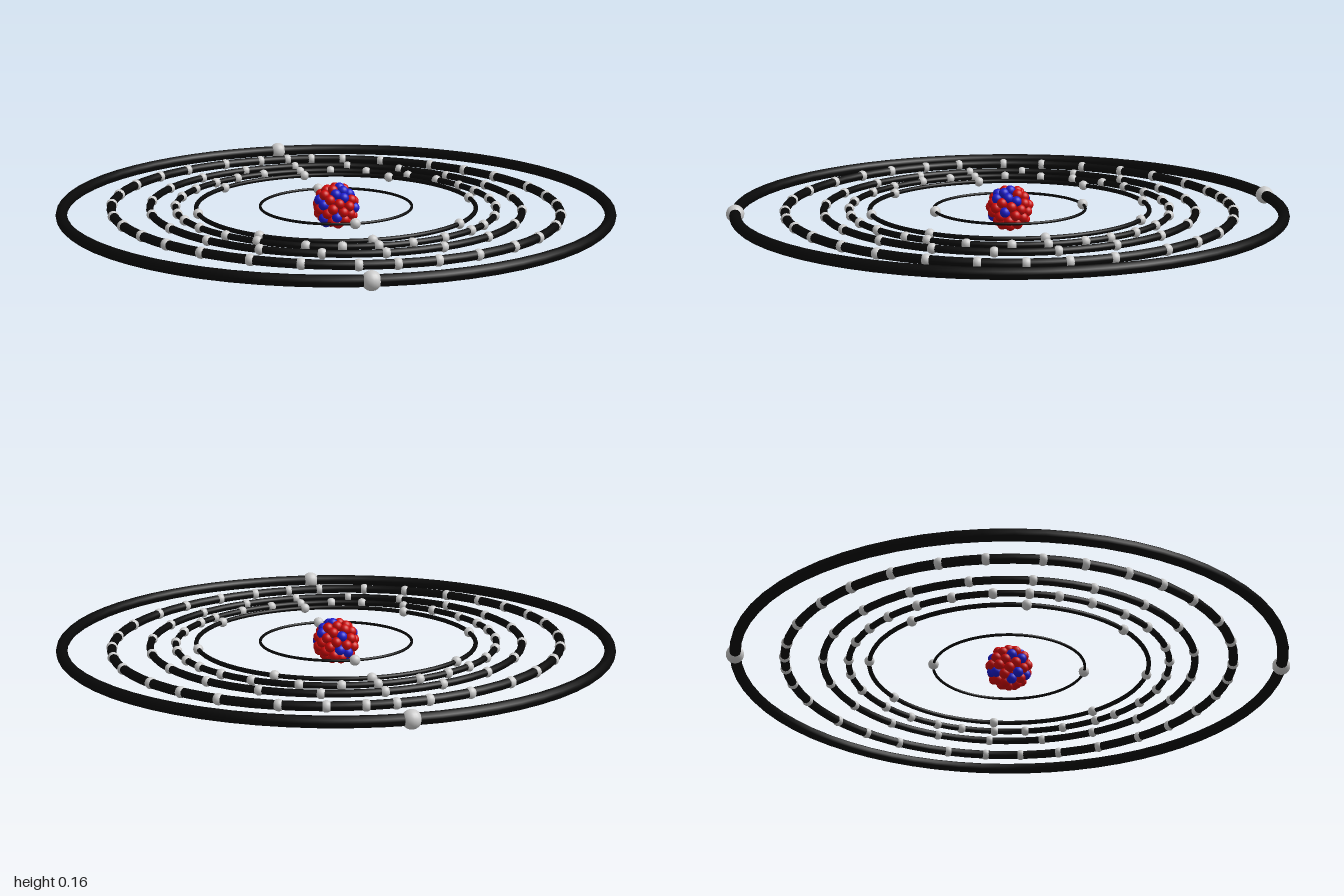
import * as THREE from 'three';

const CENTRE_Y = 0.086;
const ringMat = new THREE.MeshStandardMaterial({ color: 0x080808 });
const electronMat = new THREE.MeshStandardMaterial({ color: 0xcccccc });
const protonMat = new THREE.MeshStandardMaterial({ color: 0xd00808 });
const neutronMat = new THREE.MeshStandardMaterial({ color: 0x1c1cd0 });

const evenly = (n) => Array.from({ length: n }, (_, i) => (i * 360) / n);

// Each shell: ring radius, tube radius, electron radius, electron bearings
// in degrees (0 = back, 90 = +x), and a slight tilt about z
const shells = [
  { name: 'firstShell', radius: 0.27, tube: 0.005, ball: 0.019, bearings: evenly(2), tilt: 0 },
  { name: 'secondShell', radius: 0.497, tube: 0.008, ball: 0.018,
    bearings: [0, 38, 90, 136, 180, 225, 270, 318], tilt: 0 },
  { name: 'thirdShell', radius: 0.57, tube: 0.011, ball: 0.018,
    bearings: [0, 12, 26, 43, 56, 68, 78, 91, 103, 118, 132, 141, 155, 168,
      180, 192, 204, 221, 234, 248, 260, 270, 282, 296, 309, 322, 333, 345], tilt: -0.008 },
  { name: 'fourthShell', radius: 0.66, tube: 0.013, ball: 0.018, bearings: evenly(20), tilt: -0.01 },
  { name: 'fifthShell', radius: 0.795, tube: 0.016, ball: 0.02,
    bearings: [0, 7, 16, 27, 42, 53, 64, 79, 90, 100, 111, 123, 136, 147, 159, 170,
      180, 189, 202, 214, 227, 238, 248, 259, 269, 282, 293, 305, 317, 328, 341, 352], tilt: -0.014 },
  { name: 'outerShell', radius: 0.968, tube: 0.02, ball: 0.032, bearings: [0, 187.7], tilt: 0 },
];

function makeShell({ name, radius, tube, ball, bearings, tilt }) {
  const shell = new THREE.Group();
  shell.name = name;
  const ring = new THREE.Mesh(new THREE.TorusGeometry(radius, tube, 12, 64), ringMat);
  ring.name = 'orbitRing';
  ring.rotation.x = Math.PI / 2;
  shell.add(ring);
  const ballGeo = new THREE.SphereGeometry(ball, 16, 12);
  for (const deg of bearings) {
    const a = THREE.MathUtils.degToRad(deg);
    const electron = new THREE.Mesh(ballGeo, electronMat);
    electron.name = 'electron';
    electron.position.set(Math.sin(a) * radius, 0, -Math.cos(a) * radius);
    shell.add(electron);
  }
  shell.rotation.z = tilt;
  return shell;
}

// Nucleus: balls packed on spherical layers, blue ones gathered to one side
function makeNucleus() {
  const nucleus = new THREE.Group();
  nucleus.name = 'nucleus';
  const ballGeo = new THREE.SphereGeometry(0.0185, 16, 12);
  const blueSide = new THREE.Vector3(0.4, 0.5, 0.77).normalize();
  let seed = 11;
  const random = () => (seed = (seed * 16807) % 2147483647) / 2147483647;
  const layers = [[56, 0.066], [20, 0.038]];
  for (const [count, radius] of layers) {
    for (let i = 0; i < count; i++) {
      const y = 1 - (2 * i + 1) / count;
      const r = Math.sqrt(1 - y * y);
      const a = i * Math.PI * (3 - Math.sqrt(5));
      const dir = new THREE.Vector3(r * Math.cos(a), y, r * Math.sin(a));
      const isBlue = random() < (dir.dot(blueSide) > 0.6 ? 0.75 : 0.2);
      const ball = new THREE.Mesh(ballGeo, isBlue ? neutronMat : protonMat);
      ball.name = isBlue ? 'neutron' : 'proton';
      ball.position.copy(dir).multiplyScalar(radius + (random() - 0.5) * 0.006);
      nucleus.add(ball);
    }
  }
  return nucleus;
}

export function createModel() {
  const model = new THREE.Group();
  model.name = 'atomModel';
  const parts = [makeNucleus(), ...shells.map(makeShell)];
  for (const part of parts) {
    part.position.y = CENTRE_Y;
    model.add(part);
  }
  return model;
}
